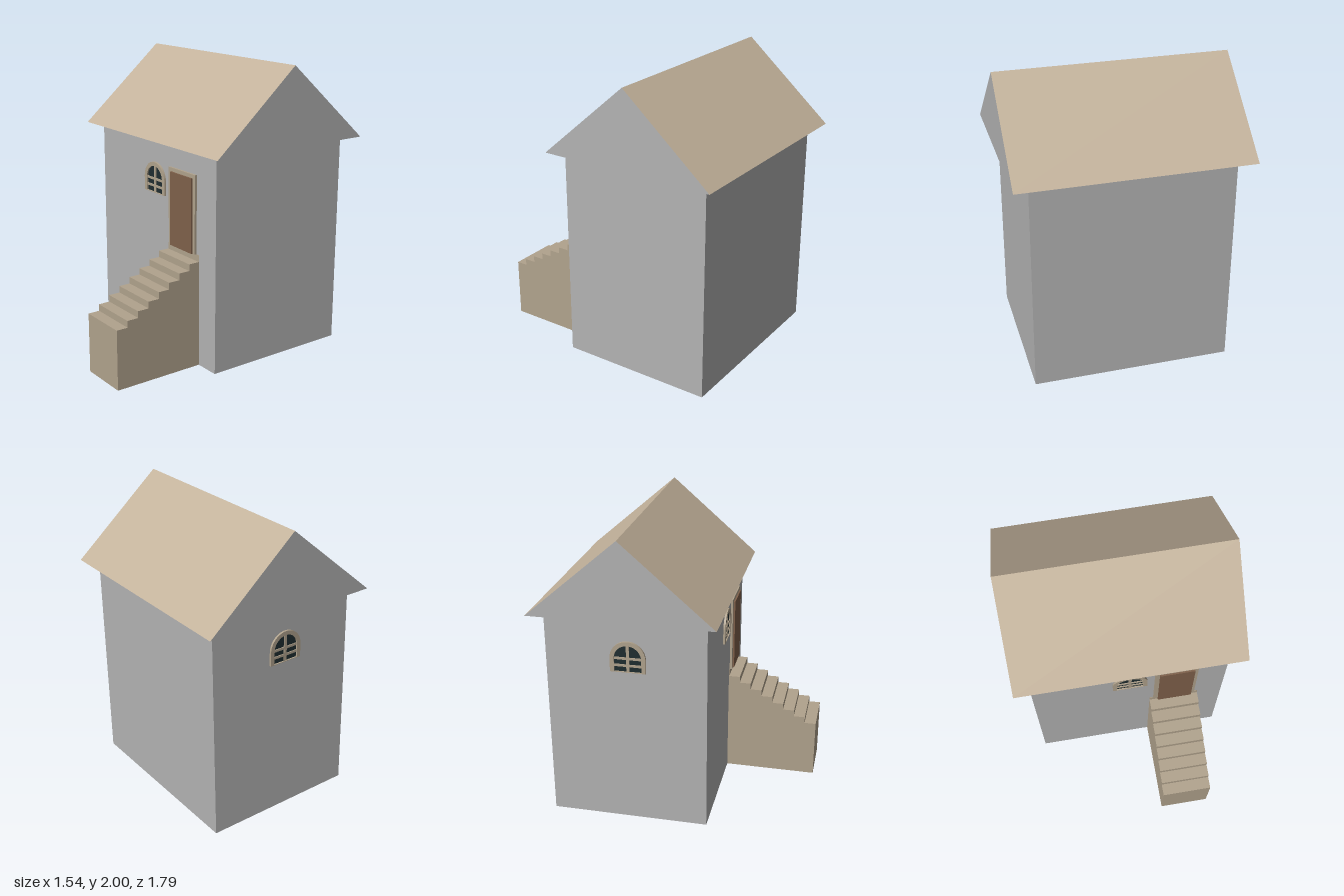
import * as THREE from 'three';

const mat = (name, color) => {
  const m = new THREE.MeshStandardMaterial({ color, side: THREE.DoubleSide });
  m.name = name;
  return m;
};

// Flat convex faces, each given as a list of corners, joined in one geometry
function faces(list) {
  const pos = [];
  for (const f of list)
    for (let i = 1; i < f.length - 1; i++) pos.push(...f[0], ...f[i], ...f[i + 1]);
  const g = new THREE.BufferGeometry();
  g.setAttribute('position', new THREE.Float32BufferAttribute(pos, 3));
  g.computeVertexNormals();
  return g;
}

// Round-topped outline standing on y = 0
function archPath(path, r, straight) {
  path.moveTo(-r, 0);
  path.lineTo(r, 0);
  path.lineTo(r, straight);
  path.absarc(0, straight, r, 0, Math.PI, false);
  path.lineTo(-r, 0);
  return path;
}

export function createModel() {
  const wall = mat('wall grey', 0xb3b3b3);
  const roofTan = mat('roof tan', 0xc3b29b);
  const stone = mat('stone tan', 0xb1a38d);
  const wood = mat('door brown', 0x80614b);
  const glass = mat('window dark', 0x1f2d30);

  const model = new THREE.Group();
  model.name = 'house';
  const add = (parent, name, geo, material, x = 0, y = 0, z = 0) => {
    const m = new THREE.Mesh(geo, material);
    m.name = name;
    m.position.set(x, y, z);
    parent.add(m);
    return m;
  };
  const box = (parent, name, material, x0, x1, y0, y1, z0, z1) =>
    add(parent, name, new THREE.BoxGeometry(x1 - x0, y1 - y0, z1 - z0), material,
      (x0 + x1) / 2, (y0 + y1) / 2, (z0 + z1) / 2);

  // Walls: four sides, open below and above
  const W = 0.665, H = 1.47, F = 0.255, B = -0.81;
  const plan = [[-W, F], [W, F], [W, B], [-W, B]];
  add(model, 'walls', faces(plan.map(([x, z], i) => {
    const [u, v] = plan[(i + 1) % 4];
    return [[x, 0, z], [u, 0, v], [u, H, v], [x, H, z]];
  })), wall);

  // Inner floor at door height
  add(model, 'floor', new THREE.PlaneGeometry(2 * W, F - B).rotateX(-Math.PI / 2), wall,
    0, 0.762, (F + B) / 2);

  // Roof: two slopes and two gables, open underneath
  const R = 0.77, ef = 0.33, eb = -0.895, rz = -0.2825;
  add(model, 'roofSlopes', faces([
    [[-R, H, ef], [R, H, ef], [R, 2, rz], [-R, 2, rz]],
    [[R, H, eb], [-R, H, eb], [-R, 2, rz], [R, 2, rz]],
  ]), roofTan);
  add(model, 'gables', faces([
    [[R, H, ef], [R, H, eb], [R, 2, rz]],
    [[-R, H, eb], [-R, H, ef], [-R, 2, rz]],
  ]), wall);

  // Stairs: stepped side outline extruded across the width
  const steps = 8, run = 0.08, rise = 0.0457, low = 0.411;
  const outline = new THREE.Shape();
  outline.moveTo(F, 0);
  outline.lineTo(0.895, 0);
  for (let i = 0; i < steps; i++) {
    outline.lineTo(0.895 - i * run, low + i * rise);
    outline.lineTo(0.895 - (i + 1) * run, low + i * rise);
  }
  outline.lineTo(F, 0);
  const stairGeo = new THREE.ExtrudeGeometry(outline, { depth: 0.345, bevelEnabled: false });
  stairGeo.rotateY(-Math.PI / 2);
  add(model, 'stairs', stairGeo, stone, 0.49, 0, 0);
  box(model, 'threshold', stone, 0.145, 0.49, 0.73, 0.777, F, F + 0.003);

  // Door panel on its frame
  box(model, 'doorFrame', stone, 0.17, 0.462, 0.777, 1.31, F, 0.271);
  box(model, 'door', wood, 0.2, 0.438, 0.777, 1.285, 0.265, 0.282);

  // Arched window: frame, pane and glazing bars
  function makeWindow(name) {
    const g = new THREE.Group();
    g.name = name;
    const frame = archPath(new THREE.Shape(), 0.118, 0.095);
    const hole = new THREE.Path();
    hole.moveTo(-0.09, 0.004);
    hole.lineTo(0.09, 0.004);
    hole.lineTo(0.09, 0.095);
    hole.absarc(0, 0.095, 0.09, 0, Math.PI, false);
    hole.lineTo(-0.09, 0.004);
    frame.holes.push(hole);
    add(g, 'windowFrame', new THREE.ExtrudeGeometry(frame,
      { depth: 0.014, bevelEnabled: false, curveSegments: 16 }), stone);
    add(g, 'windowPane', new THREE.ShapeGeometry(archPath(new THREE.Shape(), 0.1, 0.095), 16),
      glass, 0, 0, 0.004);
    box(g, 'verticalBar', stone, -0.01, 0.01, 0.004, 0.187, 0, 0.01);
    for (const y of [0.046, 0.095])
      box(g, 'crossBar', stone, -0.09, 0.09, y - 0.008, y + 0.008, 0, 0.01);
    model.add(g);
    return g;
  }
  makeWindow('frontWindow').position.set(0, 1.095, F);
  const side = makeWindow('sideWindow');
  side.position.set(-W, 1.095, -0.26);
  side.rotation.y = -Math.PI / 2;

  return model;
}
